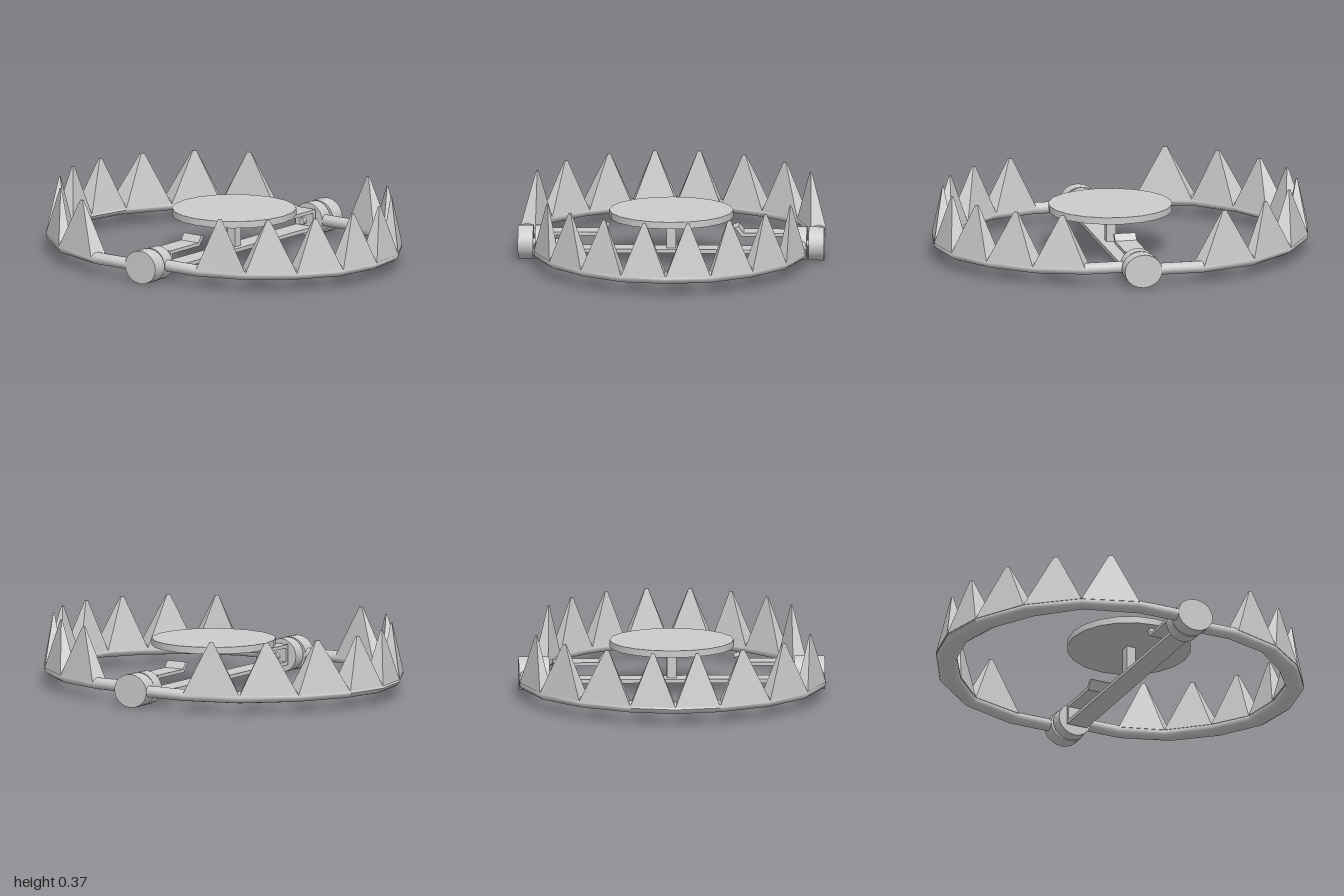
import * as THREE from 'three';
import { toCreasedNormals } from 'three/addons/utils/BufferGeometryUtils.js';

const material = new THREE.MeshStandardMaterial({ color: 0xcccccc });
const HUB_X = 0.055;
const AXIS_Y = 0.09;

function add(parent, name, geometry, x = 0, y = 0, z = 0) {
  const mesh = new THREE.Mesh(geometry, material);
  mesh.name = name;
  mesh.position.set(x, y, z);
  parent.add(mesh);
  return mesh;
}

// Skin a run of equal-length closed rings and cap both ends
function loft(rings, crease) {
  const n = rings[0].length;
  const index = [];
  for (let i = 0; i < rings.length - 1; i++) {
    for (let k = 0; k < n; k++) {
      const a = i * n + k, a1 = i * n + (k + 1) % n;
      index.push(a, a + n, a1, a1, a + n, a1 + n);
    }
  }
  const last = (rings.length - 1) * n;
  for (let k = 1; k < n - 1; k++) {
    index.push(0, k, k + 1, last, last + k + 1, last + k);
  }
  const geometry = new THREE.BufferGeometry();
  geometry.setAttribute('position', new THREE.Float32BufferAttribute(rings.flat(2), 3));
  geometry.setIndex(index);
  return toCreasedNormals(geometry, crease);
}

// Quarter outlines as [outer x, outer z, inner x, inner z], hub to tip
const LARGE = [
  [HUB_X, 0.8, HUB_X, 0.72], [-0.27, 0.8, -0.23, 0.72], [-0.56, 0.7, -0.52, 0.64],
  [-0.8, 0.5, -0.7, 0.45], [-0.95, 0.235, -0.83, 0.23], [-1, 0, -0.88, 0],
];
const SMALL = [
  [HUB_X, 0.71, HUB_X, 0.64], [0.35, 0.71, 0.31, 0.64], [0.61, 0.62, 0.54, 0.57],
  [0.82, 0.45, 0.73, 0.4], [0.96, 0.235, 0.86, 0.22], [1, 0, 0.89, 0],
];

function makeJaw(name, quarter, side, hubRadius) {
  const jaw = new THREE.Group();
  jaw.name = name;
  const turn = (s) => ([ox, oz, ix, iz]) => [ox, oz * s, ix, iz * s];
  const path = [...quarter.map(turn(side)), ...quarter.slice(0, -1).reverse().map(turn(-side))];

  // Curved rail with an oval section
  const rings = path.map(([ox, oz, ix, iz]) => Array.from({ length: 12 }, (_, k) => {
    const angle = k / 12 * Math.PI * 2;
    const t = (1 + Math.cos(angle)) / 2;
    return [ix + (ox - ix) * t, AXIS_Y + 0.031 * Math.sin(angle), iz + (oz - iz) * t];
  }));
  add(jaw, 'rail', loft(rings, 0.9));

  // One blunt tooth on every curved segment of the rail
  for (let i = 1; i < path.length - 2; i++) {
    const [pox, poz, pix, piz] = path[i];
    const [qox, qoz, qix, qiz] = path[i + 1];
    const base = [[pix, 0.1, piz], [qix, 0.1, qiz], [qox, 0.1, qoz], [pox, 0.1, poz]];
    const cx = base.reduce((s, p) => s + p[0], 0) / 4;
    const cz = base.reduce((s, p) => s + p[2], 0) / 4;
    const tip = base.map(([x, , z]) => [cx + (x - cx) * 0.07, 0.375, cz + (z - cz) * 0.07]);
    add(jaw, 'tooth', loft([base, tip], 0.5));
  }

  // Hinge hubs
  const [, outer, , inner] = quarter[0];
  for (const s of [1, -1]) {
    const hub = new THREE.CylinderGeometry(hubRadius, hubRadius, outer - inner, 20).rotateX(Math.PI / 2);
    add(jaw, 'hingeHub', hub, HUB_X, AXIS_Y, s * (outer + inner) / 2).scale.y = 0.088 / hubRadius;
  }
  return jaw;
}

export function createModel() {
  const model = new THREE.Group();
  model.name = 'jawTrap';
  model.add(makeJaw('largeJaw', LARGE, -1, 0.1));
  model.add(makeJaw('smallJaw', SMALL, 1, 0.092));

  // Base strip with both ends folded up and back inwards
  add(model, 'baseStrip', new THREE.BoxGeometry(0.115, 0.02, 1.24), 0.0575, 0.055, 0);
  const fold = new THREE.Shape([
    [0.62, 0.05], [0.62, 0.155], [0.38, 0.155], [0.355, 0.19], [0.325, 0.18],
    [0.34, 0.175], [0.37, 0.137], [0.602, 0.137], [0.602, 0.05],
  ].map(([z, y]) => new THREE.Vector2(z, y)));
  for (const s of [1, -1]) {
    const spring = new THREE.ExtrudeGeometry(fold, { depth: 0.115, bevelEnabled: false });
    spring.rotateY(-Math.PI / 2).translate(0.115, 0, 0);
    if (s < 0) spring.rotateY(Math.PI).translate(0.115, 0, 0);
    add(model, 'foldedSpring', spring);
    const pin = new THREE.CylinderGeometry(0.018, 0.018, 0.18, 12).rotateX(Math.PI / 2);
    add(model, 'hingePin', pin, HUB_X, AXIS_Y, s * 0.67);
  }

  // Trigger plate on its post
  add(model, 'triggerPost', new THREE.BoxGeometry(0.05, 0.18, 0.05), 0.0575, 0.145, 0);
  const plate = new THREE.CylinderGeometry(0.325, 0.325, 0.036, 20);
  add(model, 'triggerPlate', plate, 0.0575, 0.248, 0);
  return model;
}
